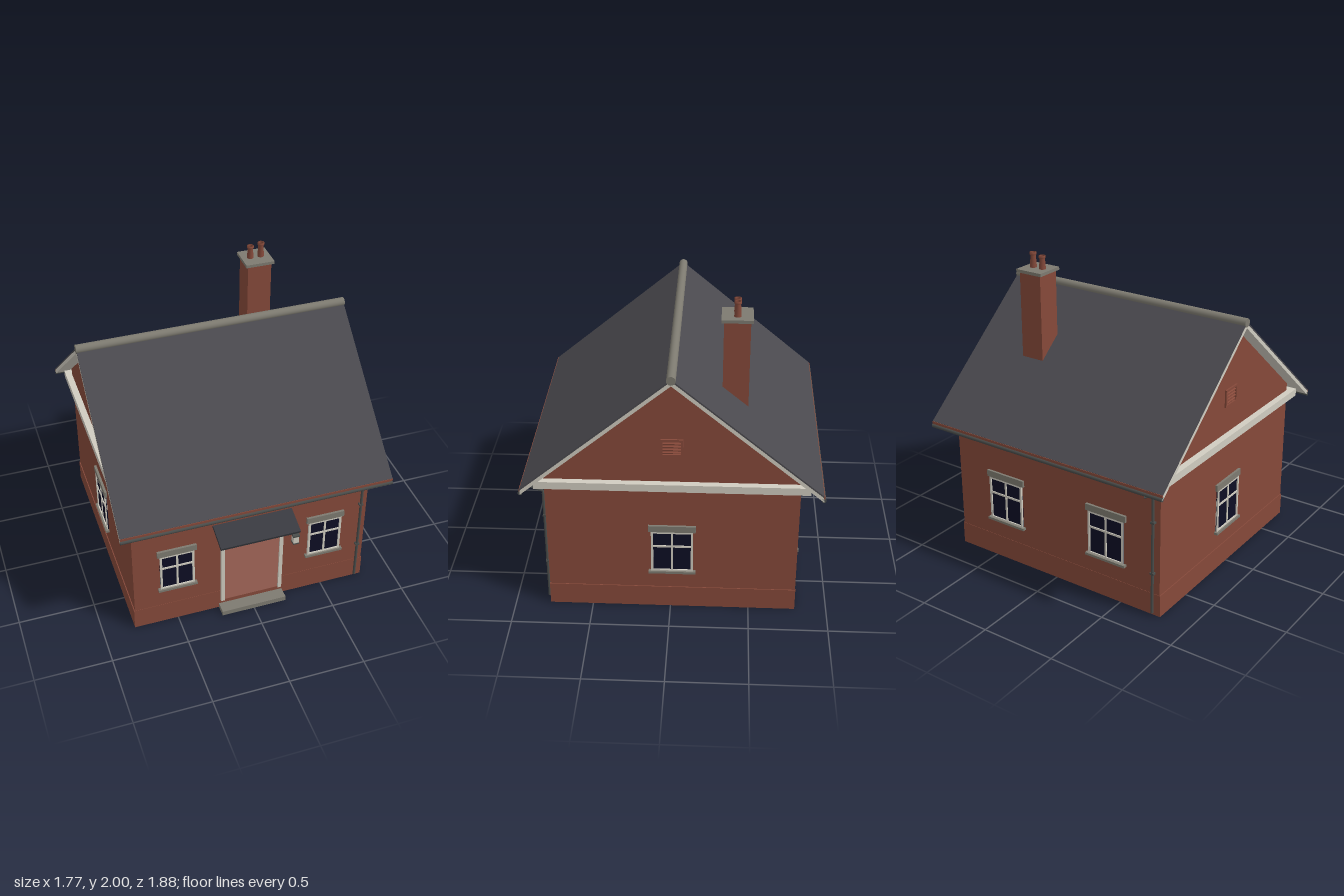
import * as THREE from 'three';

const mat = (name, color) => {
  const m = new THREE.MeshStandardMaterial({ color });
  m.name = name;
  return m;
};

export function createModel() {
  const brick = mat('brick', 0x86493a);
  const slate = mat('slate', 0x4a494e);
  const trim = mat('trim', 0xd0ccc0);
  const stone = mat('stone', 0x7d7a70);
  const glass = mat('glass', 0x0d0e24);
  const pipe = mat('pipe', 0x4a4d4b);
  const canopySlate = mat('canopySlate', 0x383a40);
  const doorPaint = mat('doorPaint', 0xa5685a);
  const clay = mat('clay', 0x84493a);

  const model = new THREE.Group();
  model.name = 'cottage';
  const house = new THREE.Group();
  house.name = 'house';
  house.position.z = -0.011;
  model.add(house);

  const add = (name, geo, material, x = 0, y = 0, z = 0, parent = house) => {
    const m = new THREE.Mesh(geo, material);
    m.name = name;
    m.position.set(x, y, z);
    parent.add(m);
    return m;
  };
  const box = (name, material, w, h, d, x, y, z, parent) =>
    add(name, new THREE.BoxGeometry(w, h, d), material, x, y, z, parent);
  // Extrudes a (z, y) outline along x, centred
  const alongX = (name, material, points, length) => {
    const shape = new THREE.Shape(points.map(([a, b]) => new THREE.Vector2(a, b)));
    const geo = new THREE.ExtrudeGeometry(shape, { depth: length, bevelEnabled: false });
    geo.translate(0, 0, -length / 2).rotateY(Math.PI / 2);
    return add(name, geo, material);
  };
  const rodX = (name, material, r, length, y, z) =>
    add(name, new THREE.CylinderGeometry(r, r, length, 20).rotateZ(Math.PI / 2), material, 0, y, z);

  // Walls with gables, plinth and eaves band
  alongX('walls', brick, [[-0.785, 0.1], [0.785, 0.1], [0.785, 1.0], [0, 1.66], [-0.785, 1.0]], 1.574);
  box('plinth', brick, 1.586, 0.15, 1.574, 0, 0.075, 0);
  box('eavesBand', trim, 1.66, 0.05, 1.686, 0, 0.925, 0);

  // Roof: slate chevron over a pale lining that shows as barge boards
  const chevron = (top, thick, half = 0.918) => {
    const low = top - half * 0.836;
    return [[-half, low], [-half, low - thick], [0, top - thick], [half, low - thick], [half, low], [0, top]];
  };
  alongX('roofSlates', slate, chevron(1.698, 0.012), 1.764);
  alongX('bargeBoards', trim, chevron(1.686, 0.03), 1.764);
  rodX('ridgeTile', stone, 0.028, 1.77, 1.69, 0);
  for (const s of [1, -1]) {
    box('eavesCourse', brick, 1.764, 0.018, 0.008, 0, 0.92, s * 0.918);
    rodX('gutter', pipe, 0.014, 1.764, 0.9, s * 0.916);

    // Downpipe with an angled outlet and wall clips
    const path = new THREE.CurvePath();
    const p = [[0.91, 0.872], [0.8, 0.832], [0.8, 0.02]].map(([z, y]) => new THREE.Vector3(s * 0.743, y, s * z));
    path.add(new THREE.LineCurve3(p[0], p[1]));
    path.add(new THREE.LineCurve3(p[1], p[2]));
    add('downpipe', new THREE.TubeGeometry(path, 48, 0.009, 10), pipe);
    for (const y of [0.3, 0.65]) box('pipeClip', pipe, 0.028, 0.012, 0.026, s * 0.743, y, s * 0.797);
  }

  // Window facing +z, y measured from the ground
  const addWindow = (x, z, turn, w, bottom) => {
    const g = new THREE.Group();
    g.name = 'window';
    g.position.set(x, 0, z);
    g.rotation.y = turn;
    house.add(g);
    const top = 0.582, h = top - bottom, mid = (top + bottom) / 2;
    box('glass', glass, w, h, 0.008, 0, mid, 0.002, g);
    for (const s of [1, -1]) {
      box('frameSide', trim, 0.014, h, 0.02, s * (w / 2 - 0.007), mid, 0.004, g);
      box('frameRail', trim, w, 0.012, 0.02, 0, mid + s * (h / 2 - 0.006), 0.004, g);
    }
    box('mullion', trim, 0.013, h, 0.016, 0, mid, 0.004, g);
    box('crossBar', trim, w, 0.013, 0.016, 0, bottom + h * 0.63, 0.004, g);
    box('lintel', stone, w + 0.032, 0.044, 0.03, 0, 0.604, 0, g);
    box('sill', stone, w + 0.032, 0.016, 0.05, 0, bottom - 0.006, 0, g);
  };
  for (const s of [1, -1]) {
    addWindow(s * 0.5, 0.786, 0, 0.226, 0.303);
    addWindow(s * 0.395, -0.786, Math.PI, 0.264, 0.283);
    addWindow(s * 0.788, 0, s * Math.PI / 2, 0.264, 0.283);

    // Gable vent with louvres
    const v = new THREE.Group();
    v.name = 'gableVent';
    v.position.set(s * 0.788, 1.192, 0);
    v.rotation.y = s * Math.PI / 2;
    house.add(v);
    for (const t of [1, -1]) {
      box('ventSide', brick, 0.012, 0.115, 0.02, t * 0.062, 0, 0, v);
      box('ventRail', brick, 0.136, 0.012, 0.02, 0, t * 0.052, 0, v);
    }
    for (let i = 0; i < 4; i++) box('louvre', brick, 0.12, 0.004, 0.016, 0, -0.032 + i * 0.021, 0, v).rotation.x = 0.6;
  }

  // Door, surround, step
  box('door', doorPaint, 0.384, 0.515, 0.016, 0, 0.3275, 0.786);
  for (const s of [1, -1]) box('doorPost', trim, 0.024, 0.53, 0.032, s * 0.198, 0.335, 0.79);
  box('doorHead', trim, 0.45, 0.026, 0.036, 0, 0.598, 0.79);
  box('step', stone, 0.44, 0.034, 0.09, 0, 0.017, 0.822);

  // Porch canopy on slanted brackets
  box('canopy', canopySlate, 0.525, 0.02, 0.172, 0, 0.71, 0.868).rotation.x = 0.31;
  for (const s of [1, -1]) {
    box('canopyBracket', trim, 0.016, 0.014, 0.15, s * 0.215, 0.648, 0.843).rotation.x = -0.6;
    box('bracketPlate', trim, 0.016, 0.1, 0.014, s * 0.215, 0.66, 0.789);
  }

  // Wall lantern
  box('lanternGlass', trim, 0.036, 0.056, 0.036, 0.283, 0.51, 0.826);
  box('lanternCap', pipe, 0.046, 0.012, 0.046, 0.283, 0.543, 0.826);
  box('lanternBase', pipe, 0.042, 0.008, 0.042, 0.283, 0.479, 0.826);
  box('lanternArm', pipe, 0.012, 0.012, 0.03, 0.283, 0.543, 0.795);

  // Chimney with stone cap and two hollow pots
  box('chimney', brick, 0.16, 0.64, 0.16, 0.413, 1.565, -0.374);
  box('chimneyCap', stone, 0.192, 0.02, 0.19, 0.413, 1.892, -0.374);
  [[0.375, 0.088], [0.447, 0.1]].forEach(([x, h]) => {
    const profile = [[0.022, 0], [0.017, h * 0.8], [0.022, h * 0.84], [0.022, h], [0.013, h], [0.013, 0.01], [0, 0.01]]
      .map(([r, y]) => new THREE.Vector2(r, y));
    const geo = new THREE.LatheGeometry(profile, 20);
    add('chimneyPot', geo, clay, x, 1.9, -0.374);
  });

  return model;
}
